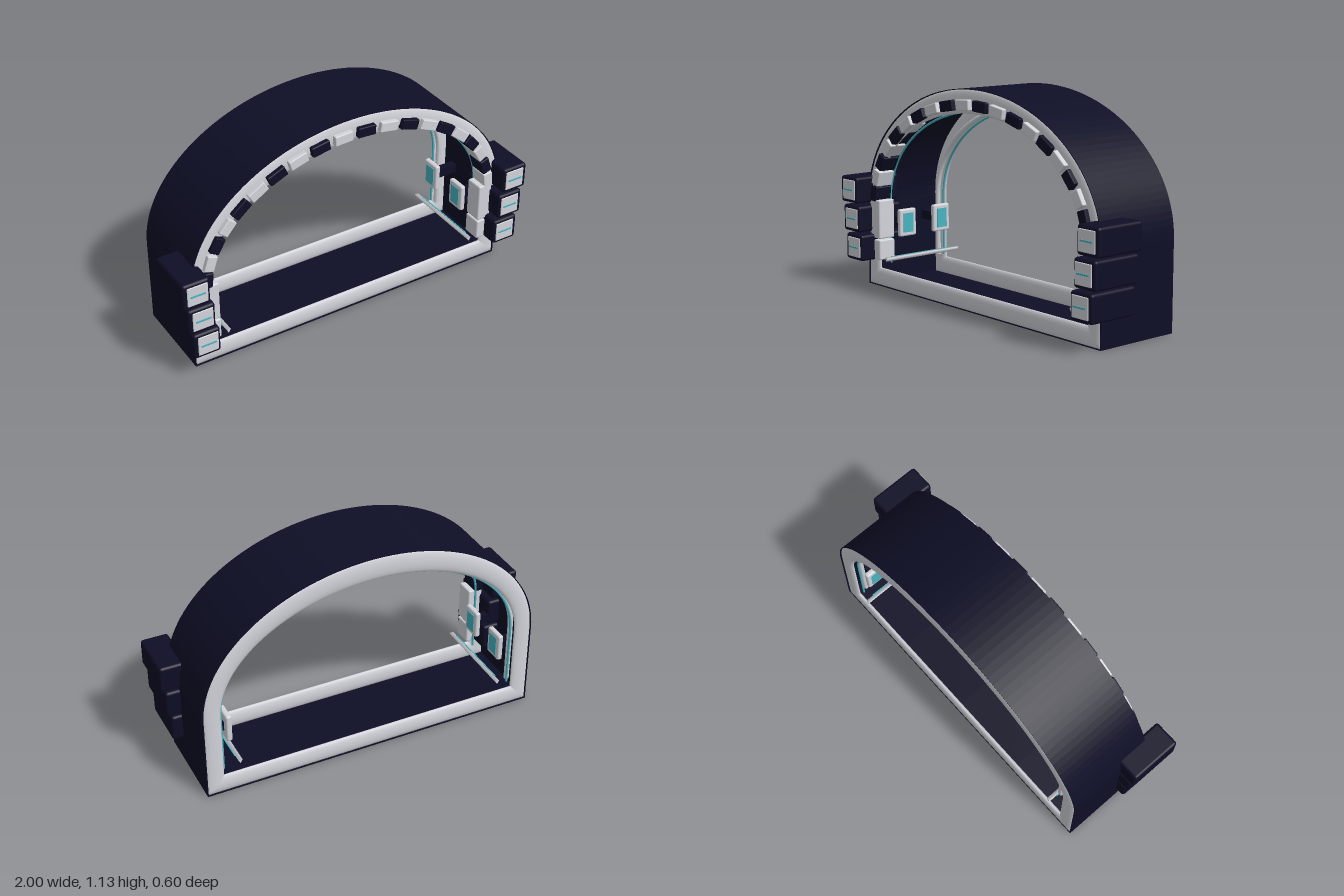
import * as THREE from 'three';
import { RoundedBoxGeometry } from 'three/addons/geometries/RoundedBoxGeometry.js';

const SPRING = 0.46; // height where the straight sides turn into the arch

function material(name, color, side = THREE.FrontSide) {
  const m = new THREE.MeshStandardMaterial({ color, side });
  m.name = name;
  return m;
}

// Half-elliptical arch, from +x over the top to -x
function archPoints(rx, ry, n = 64) {
  return Array.from({ length: n + 1 }, (_, i) => {
    const a = (i / n) * Math.PI;
    return new THREE.Vector2(rx * Math.cos(a), SPRING + ry * Math.sin(a));
  });
}

// Closed doorway outline: sill, sides and arch, counter-clockwise
function outline(rx, ry, bottom) {
  const pts = [];
  const steps = [0, 0.02, 0.25, 0.5, 0.75, 0.98];
  for (const t of steps) pts.push(new THREE.Vector2(-rx + 2 * rx * t, bottom));
  for (const t of steps) pts.push(new THREE.Vector2(rx, bottom + (SPRING - bottom) * t));
  pts.push(...archPoints(rx, ry));
  for (const t of steps.slice(1)) pts.push(new THREE.Vector2(-rx, SPRING - (SPRING - bottom) * t));
  return pts;
}

// Softly rounded band swept between an outer and an inner outline
function bandGeometry(outer, inner, depth, sides = 16) {
  const pos = [], index = [];
  const n = outer.length;
  for (let i = 0; i < n; i++) {
    const mid = outer[i].clone().add(inner[i]).multiplyScalar(0.5);
    const half = outer[i].clone().sub(mid);
    for (let k = 0; k < sides; k++) {
      const a = (k / sides) * Math.PI * 2;
      pos.push(mid.x + half.x * Math.cos(a), mid.y + half.y * Math.cos(a), (depth / 2) * Math.sin(a));
      const i2 = (i + 1) % n, k2 = (k + 1) % sides;
      const p = i * sides + k, q = i2 * sides + k, r = i * sides + k2, s = i2 * sides + k2;
      index.push(p, q, r, q, s, r);
    }
  }
  const g = new THREE.BufferGeometry();
  g.setAttribute('position', new THREE.Float32BufferAttribute(pos, 3));
  g.setIndex(index);
  g.computeVertexNormals();
  return g;
}

export function createModel() {
  const model = new THREE.Group();
  model.name = 'archedGateway';
  const navy = material('navy hull', 0x0e0e26);
  const grey = material('light grey panel', 0xd2d4da);
  const teal = material('teal light', 0x48b4c0);

  function add(parent, name, geometry, mat, x = 0, y = 0, z = 0) {
    const mesh = new THREE.Mesh(geometry, mat);
    mesh.name = name;
    mesh.position.set(x, y, z);
    parent.add(mesh);
    return mesh;
  }

  // Thin outer hull, open at front and back
  const hull = new THREE.Shape(outline(0.905, 0.67, 0));
  hull.holes.push(new THREE.Path(outline(0.901, 0.666, 0.004)));
  add(model, 'outerHull', new THREE.ExtrudeGeometry(hull, { depth: 0.476, bevelEnabled: false }), navy, 0, 0, -0.298);

  // Rounded frames around both openings
  const frame = bandGeometry(outline(0.904, 0.669, 0.001), outline(0.81, 0.545, 0.1), 0.03);
  add(model, 'frontFrame', frame, grey, 0, 0, 0.165);
  add(model, 'rearFrame', frame, grey, 0, 0, -0.285);

  // Liner tubes that follow the inside of the arch
  function archTube(name, rx, ry, z, radius, mat) {
    const pts = archPoints(rx, ry, 40).map((p) => new THREE.Vector3(p.x, p.y, z));
    pts.unshift(new THREE.Vector3(rx, 0.12, z), new THREE.Vector3(rx, 0.3, z));
    pts.push(new THREE.Vector3(-rx, 0.3, z), new THREE.Vector3(-rx, 0.12, z));
    add(model, name, new THREE.TubeGeometry(new THREE.CatmullRomCurve3(pts), 100, radius, 6), mat);
  }
  archTube('rearRib', 0.818, 0.555, -0.235, 0.014, grey);
  archTube('rearLightStrip', 0.802, 0.542, -0.262, 0.006, teal);
  archTube('frontLightStrip', 0.806, 0.55, 0.1, 0.006, teal);

  // Alternating blocks around the front arch
  const blockGeo = new RoundedBoxGeometry(0.1, 0.054, 0.1, 2, 0.006);
  const sideBlockGeo = new RoundedBoxGeometry(0.085, 0.054, 0.1, 2, 0.006);
  for (let i = 0; i < 20; i++) {
    const a = ((i + 0.5) * Math.PI) / 20;
    const geo = Math.abs(Math.cos(a)) > 0.8 ? sideBlockGeo : blockGeo;
    const block = add(model, 'archBlock', geo, i % 2 ? navy : grey,
      0.825 * Math.cos(a), SPRING + 0.59 * Math.sin(a), 0.154);
    block.rotation.z = Math.atan2(0.59 * Math.cos(a), -0.825 * Math.sin(a));
  }

  for (const side of [1, -1]) {
    const group = new THREE.Group();
    group.name = side > 0 ? 'leftFittings' : 'rightFittings';
    model.add(group);

    // Stack of three outer pods, each with a face plate and light line
    for (let i = 0; i < 3; i++) {
      const x = side * (0.888 + i * 0.02);
      const y = 0.218 + i * 0.155;
      add(group, 'pod', new RoundedBoxGeometry(0.144, 0.142, 0.28, 3, 0.015), navy, x, y, 0.15);
      add(group, 'podFacePlate', new RoundedBoxGeometry(0.11, 0.108, 0.012, 2, 0.005), grey, x - side * 0.004, y, 0.288);
      add(group, 'podLightLine', new THREE.BoxGeometry(0.08, 0.008, 0.005), teal, x - side * 0.004, y, 0.2955);
    }

    // Jamb blocks beside the opening
    add(group, 'upperJambBlock', new RoundedBoxGeometry(0.08, 0.21, 0.1, 2, 0.008), grey, side * 0.808, 0.372, 0.154);
    add(group, 'lowerJambBlock', new RoundedBoxGeometry(0.075, 0.11, 0.1, 2, 0.008), grey, side * 0.805, 0.205, 0.154);

    // Wall consoles with screens
    for (const z of [0.03, -0.2]) {
      add(group, 'consoleFrame', new RoundedBoxGeometry(0.03, 0.15, 0.11, 2, 0.01), grey, side * 0.757, 0.342, z);
      add(group, 'consoleScreen', new THREE.BoxGeometry(0.005, 0.105, 0.066), teal, side * 0.7415, 0.342, z);
      add(group, 'consoleMount', new THREE.BoxGeometry(0.135, 0.05, 0.04), navy, side * 0.835, 0.342, z);
    }

    // Slim three-sided guide rail along the floor
    const rail = add(group, 'guideRail', new THREE.CylinderGeometry(0.013, 0.013, 0.49, 3), grey, side * 0.725, 0.162, -0.05);
    rail.rotation.x = Math.PI / 2;
    add(group, 'railLight', new THREE.BoxGeometry(0.006, 0.005, 0.4), teal, side * 0.737, 0.168, -0.05);
  }

  return model;
}
